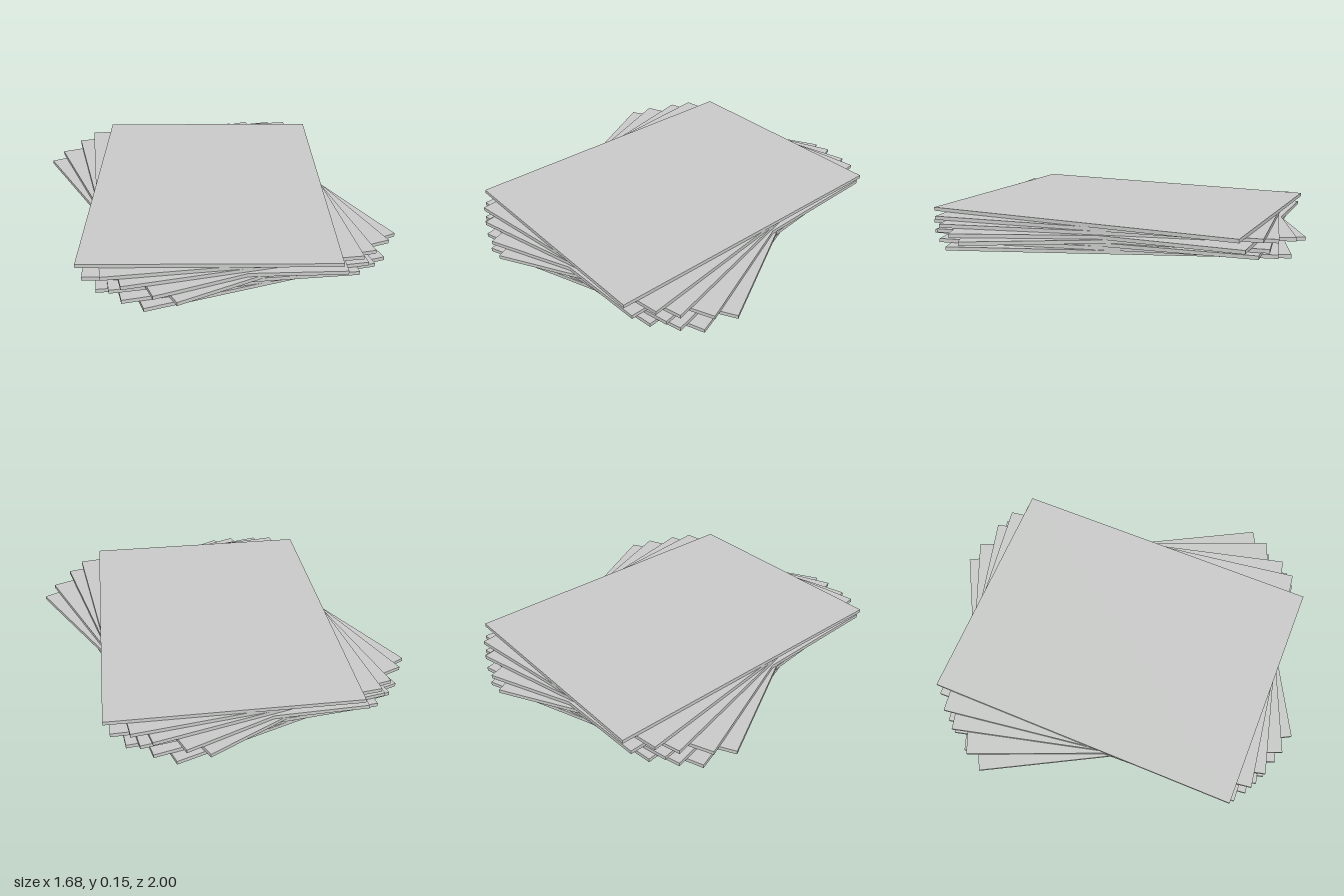
import * as THREE from 'three';

// Sheet size and height of one layer
const WIDTH = 1.28, LENGTH = 1.728, THICKNESS = 0.0192;

// Turn of each sheet in degrees, layer by layer from the bottom;
// the two middle layers hold a crossed pair of sheets.
const LAYERS = [[5], [-1], [-8.5], [13.5, -4.5], [-13, 7.5], [-1], [-7], [-15]];

export function createModel() {
  const group = new THREE.Group();
  group.name = 'sheetStack';

  const paper = new THREE.MeshStandardMaterial({ color: 0xc9cbc9 });
  paper.name = 'pale grey paper';
  const geometry = new THREE.BoxGeometry(WIDTH, THICKNESS, LENGTH);

  // Fanned stack of flat sheets sharing one centre
  let count = 0;
  LAYERS.forEach((angles, level) => {
    for (const angle of angles) {
      const sheet = new THREE.Mesh(geometry, paper);
      sheet.name = `sheet${++count}`;
      sheet.position.y = (level + 0.5) * THICKNESS;
      sheet.rotation.y = THREE.MathUtils.degToRad(angle);
      group.add(sheet);
    }
  });
  return group;
}
